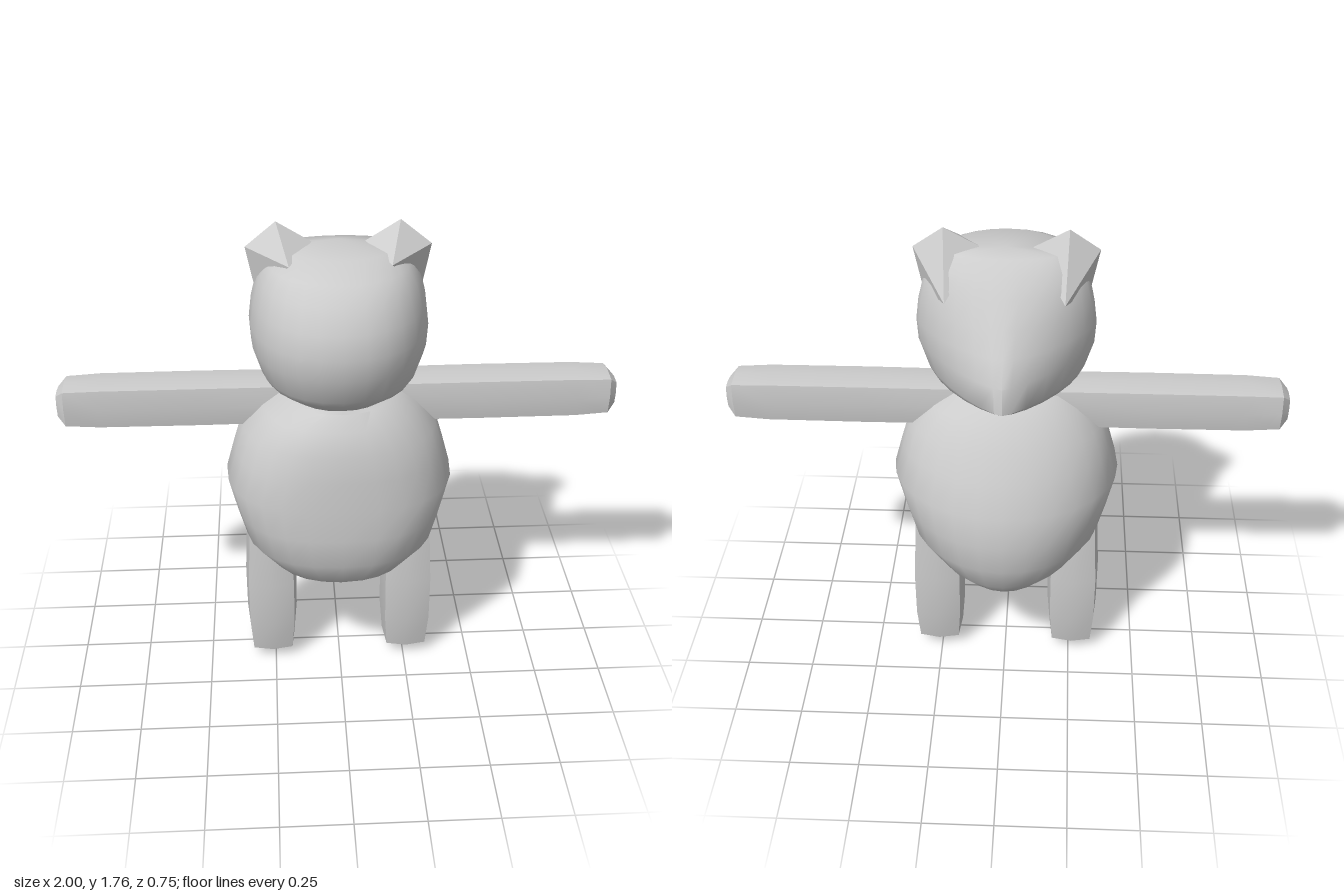
import * as THREE from 'three';
import { toCreasedNormals } from 'three/addons/utils/BufferGeometryUtils.js';
import { ConvexGeometry } from 'three/addons/geometries/ConvexGeometry.js';

const material = new THREE.MeshStandardMaterial({ color: 0xcccccc });

// Skin a stack of horizontal sections, each { y, pts: [[x, z], ...] }, bottom to top
function loft(sections, crease) {
  const n = sections[0].pts.length;
  const positions = [];
  const index = [];
  sections.forEach(({ y, pts }, r) => {
    pts.forEach(([x, z], i) => {
      positions.push(x, y, z);
      if (r === sections.length - 1) return;
      const a = r * n + i;
      const b = r * n + ((i + 1) % n);
      index.push(a, a + n, b, b, a + n, b + n);
    });
  });
  const geometry = new THREE.BufferGeometry();
  geometry.setAttribute('position', new THREE.Float32BufferAttribute(positions, 3));
  geometry.setIndex(index);
  return toCreasedNormals(geometry, crease);
}

// Rounded section with its own depth and squareness at front and back
function ovalSection([y, halfWidth, front, back, nFront, nBack], sides = 28) {
  const pts = [];
  for (let i = 0; i < sides; i++) {
    const t = (i / sides) * Math.PI * 2;
    const c = Math.cos(t);
    const s = Math.sin(t);
    const power = 2 / (s >= 0 ? nFront : nBack);
    pts.push([
      halfWidth * Math.sign(c) * Math.abs(c) ** power,
      (s >= 0 ? front : -back) * Math.abs(s) ** power,
    ]);
  }
  return { y, pts };
}

// Box section with slightly bulging sides
function boxSection([y, hx, hz]) {
  const k = 0.88;
  const pts = [[1, 0], [k, k], [0, 1], [-k, k], [-1, 0], [-k, -k], [0, -1], [k, -k]];
  return { y, pts: pts.map(([x, z]) => [x * hx, z * hz]) };
}

function addMesh(group, name, geometry) {
  const mesh = new THREE.Mesh(geometry, material);
  mesh.name = name;
  group.add(mesh);
  return mesh;
}

export function createModel() {
  const model = new THREE.Group();
  model.name = 'bear';

  // Pear-shaped body: y, half width, front depth, back depth, squareness front and back
  const body = [
    [0.38, 0, 0, 0, 2, 2],
    [0.39, 0.09, 0.1, 0.15, 2, 2],
    [0.43, 0.2, 0.22, 0.28, 2.1, 2],
    [0.49, 0.27, 0.3, 0.33, 2.3, 2],
    [0.59, 0.35, 0.35, 0.365, 2.5, 2],
    [0.7, 0.38, 0.353, 0.37, 2.6, 2],
    [0.82, 0.41, 0.35, 0.355, 2.6, 2],
    [0.93, 0.38, 0.34, 0.305, 2.5, 2],
    [1.03, 0.35, 0.33, 0.26, 2.4, 2],
    [1.11, 0.28, 0.3, 0.2, 2.3, 2],
    [1.16, 0.21, 0.26, 0.15, 2.2, 2],
    [1.17, 0, 0, 0, 2, 2],
  ];
  addMesh(model, 'body', loft(body.map((r) => ovalSection(r)), 0.8));

  // Round head tapering to a low snout at the back
  const head = [
    [1.16, 0, 0, 0, 2, 1.6],
    [1.165, 0.19, 0.24, 0.15, 2.2, 1.6],
    [1.22, 0.26, 0.315, 0.3, 2.2, 1.4],
    [1.245, 0.275, 0.335, 0.34, 2.2, 1.3],
    [1.34, 0.305, 0.37, 0.332, 2.2, 1.3],
    [1.42, 0.31, 0.38, 0.28, 2.2, 1.4],
    [1.5, 0.3, 0.362, 0.23, 2.2, 1.5],
    [1.58, 0.28, 0.32, 0.17, 2.2, 1.7],
    [1.635, 0.25, 0.265, 0.125, 2.2, 1.8],
    [1.68, 0.2, 0.17, 0.07, 2, 2],
    [1.695, 0, 0, 0, 2, 2],
  ];
  addMesh(model, 'head', loft(head.map((r) => ovalSection(r)), 0.8));

  // Tapering limb outlines: distance along limb, two half thicknesses
  const leg = [
    [0, 0, 0], [0, 0.035, 0.05], [0.045, 0.085, 0.122], [0.18, 0.096, 0.141],
    [0.36, 0.097, 0.141], [0.6, 0.085, 0.125], [0.61, 0, 0],
  ];
  const arm = [
    [0, 0, 0], [0, 0.08, 0.08], [0.5, 0.082, 0.082], [0.85, 0.081, 0.081],
    [0.97, 0.075, 0.075], [0.998, 0.045, 0.045], [1, 0, 0],
  ];
  const legGeometry = loft(leg.map(boxSection), 0.6);
  const armGeometry = loft(arm.map(boxSection), 0.6).rotateZ(-Math.PI / 2);

  // Pointed ear: tip, outer corner, then the points buried in the head
  const ear = [
    [0.21, 1.76, 0], [0.315, 1.68, 0.02], [0.09, 1.69, 0.01],
    [0.17, 1.66, 0.16], [0.2, 1.55, -0.14], [0.285, 1.53, 0.02],
  ];

  for (const [side, s] of [['left', 1], ['right', -1]]) {
    addMesh(model, side + 'Leg', legGeometry).position.x = s * 0.26;

    const armMesh = addMesh(model, side + 'Arm', armGeometry);
    armMesh.position.y = 1.103;
    armMesh.rotation.y = s > 0 ? 0 : Math.PI;

    const points = ear.map(([x, y, z]) => new THREE.Vector3(s * x, y, z));
    addMesh(model, side + 'Ear', toCreasedNormals(new ConvexGeometry(points), 0.7));
  }
  return model;
}
